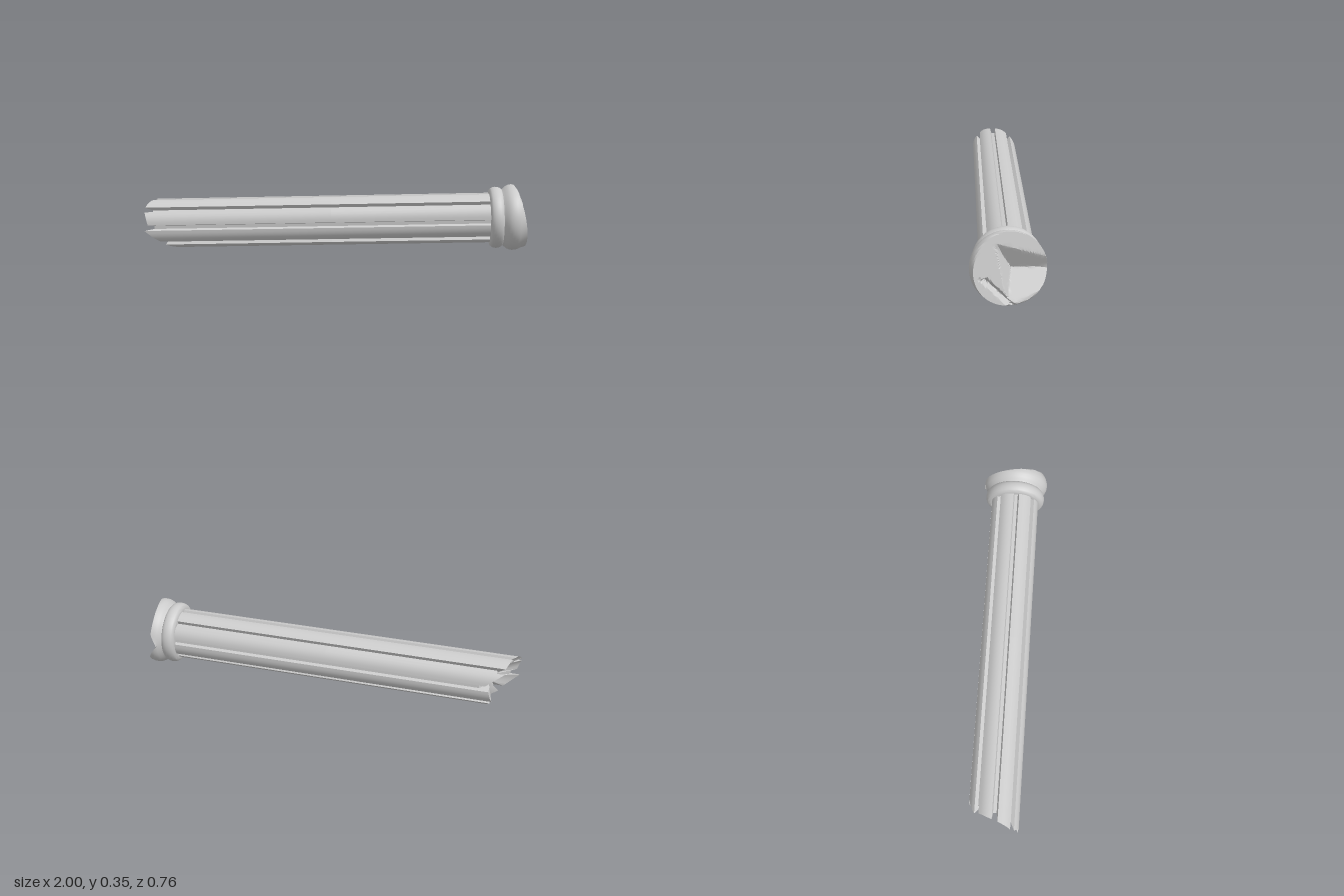
import * as THREE from 'three';
import { toCreasedNormals } from 'three/addons/utils/BufferGeometryUtils.js';

const material = new THREE.MeshStandardMaterial({ color: 0xcccccc, side: THREE.DoubleSide });
const DEG = Math.PI / 180;

// Skin closed rings of points; the rings run along the column's axis (local x)
function skin(name, rings, crease) {
  const n = rings[0].length;
  const index = [];
  const same = (p, q) => p.distanceToSquared(q) < 1e-12;
  for (let i = 0; i < rings.length - 1; i++) {
    for (let j = 0; j < n; j++) {
      const k = (j + 1) % n;
      const a = i * n + j, b = i * n + k, c = a + n, d = b + n;
      if (!same(rings[i + 1][j], rings[i + 1][k])) index.push(a, c, d);
      if (!same(rings[i][j], rings[i][k])) index.push(a, d, b);
    }
  }
  const geometry = new THREE.BufferGeometry().setFromPoints(rings.flat());
  geometry.setIndex(index);
  const mesh = new THREE.Mesh(toCreasedNormals(geometry, crease), material);
  mesh.name = name;
  return mesh;
}

const polar = (s, a, r) => new THREE.Vector3(s, r * Math.sin(a), r * Math.cos(a));

// Shaft: eight broad bands split by narrow grooves, snapped off at one end
function shaft() {
  // where each band breaks off, at its first and last edge
  const breaks = [[-0.98, -1.0], [-1.0, -0.97], [-0.96, -0.93], [-0.93, -0.84],
    [-0.86, -0.88], [-0.87, -0.81], [-0.8, -0.9], [-0.92, -1.0]];
  const outline = [];
  breaks.forEach(([from, to], k) => {
    const start = -4 + 45 * k;
    const last = breaks[(k + 7) % 8][1];
    const floor = (last + from) / 2 + 0.04;
    outline.push({ a: start - 4.5, r: 0.111, s: floor }, { a: start + 4.5, r: 0.111, s: floor });
    for (let i = 0; i <= 5; i++) {
      const t = i / 5;
      outline.push({
        a: start + 6.5 + 32 * t,
        r: 0.131 + 0.003 * Math.sin(Math.PI * t),
        s: from + (to - from) * t,
      });
    }
  });
  const ring = (f) => outline.map((p) => {
    const [s, r] = f(p);
    return polar(s, p.a * DEG, r);
  });
  return skin('flutedShaft', [
    ring(() => [-0.84, 0]),
    ring((p) => [-0.86 + (p.s + 0.86) * 0.3, p.r * 0.6]),
    ring((p) => [p.s, p.r]),
    ring((p) => [0, p.r]),
    ring((p) => [0.87, p.r]),
  ], 0.45);
}

// Height of the plane through three points [z, y, s]
function planeThrough(...pts) {
  const [a, b, c] = pts.map((p) => new THREE.Vector3(...p));
  const n = b.clone().sub(a).cross(c.clone().sub(a));
  return (z, y) => a.z - (n.x * (z - a.x) + n.y * (y - a.y)) / n.z;
}

// Broken face: a sloping plane with a chipped pit open to the rim, and a crack
const top = [0.06, 0.125, 0.985], rim = [-0.17, -0.01, 0.93], deep = [-0.012, -0.013, 0.92];
const low = [0.018, -0.07, 1.0], edge = [-0.107, -0.12, 1.0];
const pitWalls = [planeThrough(top, rim, deep), planeThrough(top, deep, low), planeThrough(deep, rim, edge)];
function brokenFace(z, y) {
  const face = 0.995 + 0.15 * z - 0.15 * y;
  const pit = Math.max(...pitWalls.map((wall) => wall(z, y)));
  const crack = Math.max(0, 0.022 - Math.abs(z - y - 0.145)) * (y < -0.03 ? 1 : 0);
  return Math.min(face - crack, pit);
}

// Rounded end block, trimmed by the broken face
function endBlock() {
  const profile = [[0.905, 0.12], [0.908, 0.148], [0.918, 0.156], [0.93, 0.167], [0.945, 0.174],
    [0.96, 0.176], [0.975, 0.175], [0.99, 0.171], [1.003, 0.164]];
  for (let i = 0; i <= 20; i++) profile.push([1.03, 0.158 * (1 - i / 20)]);
  const sides = 80;
  const rings = profile.map(([s, r]) => Array.from({ length: sides }, (_, j) => {
    const p = polar(s, j / sides * Math.PI * 2, r);
    p.x = Math.max(0.9, Math.min(s, brokenFace(p.z, p.y)));
    return p;
  }));
  return skin('brokenEndBlock', rings, 0.4);
}

// Convex collar and the neck behind the end block
function collar() {
  const profile = [[0.84, 0.12], [0.84, 0.138]];
  for (let i = 0; i <= 8; i++) {
    const t = Math.PI * i / 8;
    profile.push([0.876 - 0.034 * Math.cos(t), 0.143 + 0.021 * Math.sin(t)]);
  }
  profile.push([0.913, 0.146], [0.92, 0.145], [0.92, 0.12]);
  const sides = 40;
  const rings = profile.map(([s, r]) =>
    Array.from({ length: sides }, (_, j) => polar(s, j / sides * Math.PI * 2, r)));
  return skin('collar', rings, 0.6);
}

export function createModel() {
  const model = new THREE.Group();
  model.name = 'fallenColumn';
  const column = new THREE.Group();
  column.name = 'column';
  column.add(shaft(), collar(), endBlock());
  // lying slightly raised at the collar end and turned on the ground
  column.rotation.set(0, -14.5 * DEG, 1.4 * DEG, 'YXZ');
  column.position.set(0, 0.157, -0.038);
  model.add(column);
  return model;
}
